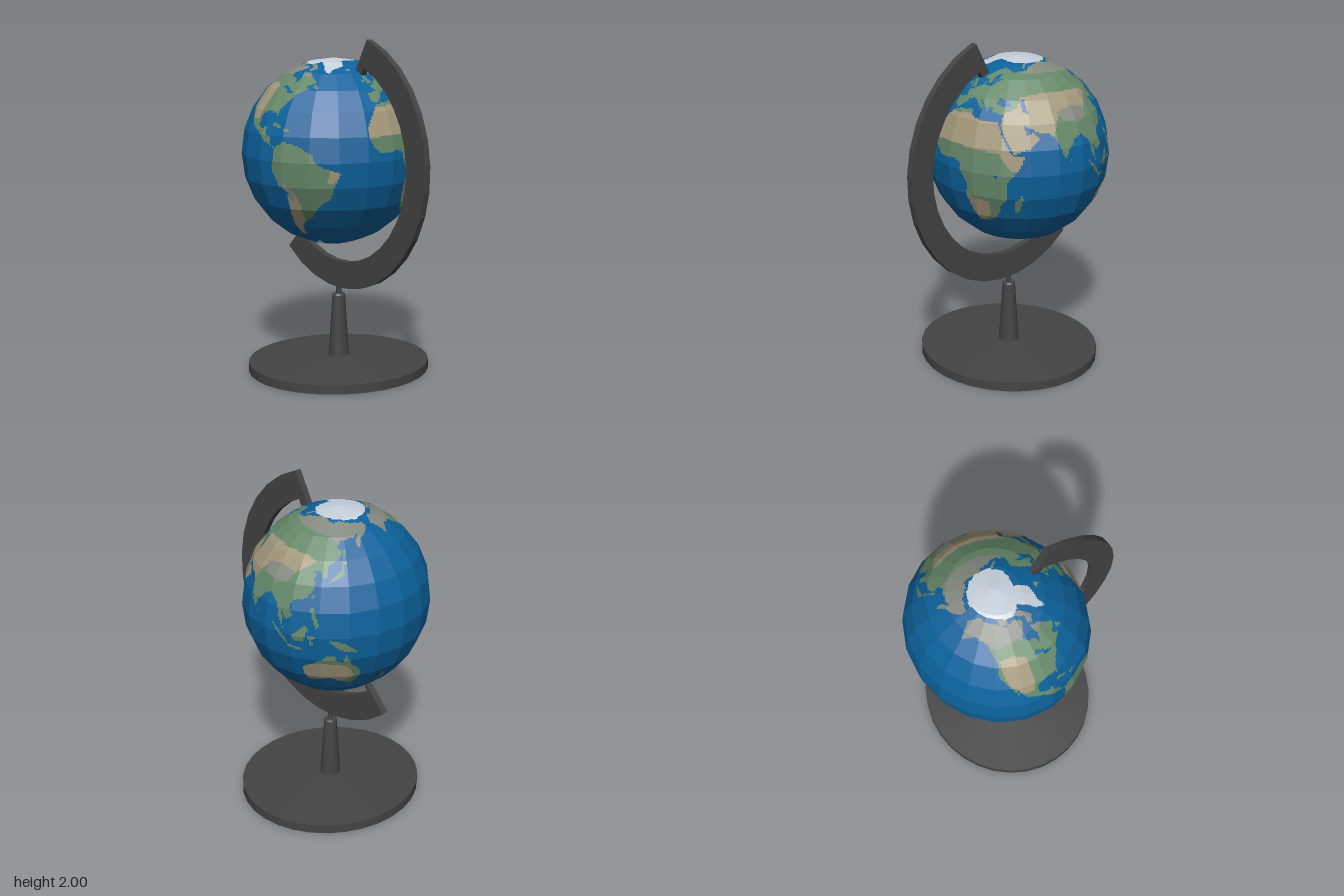
import * as THREE from 'three';

const mat = (name, color) => {
  const m = new THREE.MeshStandardMaterial({ color });
  m.name = name;
  return m;
};
const materials = {
  ocean: mat('ocean blue', 0x0c629c),
  forest: mat('forest green', 0x66896a),
  desert: mat('desert tan', 0xa3987b),
  tundra: mat('tundra grey', 0x858a80),
  ice: mat('ice white', 0xc6d0db),
};
const standMat = mat('charcoal', 0x444444);

// Map outlines as flat lists of longitude, latitude
const outlines = { land: [], water: [], desert: [], tundra: [], ice: [] };
const add = (kind, ...points) => outlines[kind].push(points);

function inside(p, x, y) {
  let hit = false;
  for (let i = 0, j = p.length - 2; i < p.length; j = i, i += 2) {
    if ((p[i + 1] > y) !== (p[j + 1] > y) &&
      x < ((p[j] - p[i]) * (y - p[i + 1])) / (p[j + 1] - p[i + 1]) + p[i]) hit = !hit;
  }
  return hit;
}

// North and Central America
add('land', -168, 66, -156, 71, -140, 70, -125, 70, -110, 68, -95, 70, -85, 69, -82, 67, -94, 60, -92, 57,
  -82, 55, -80, 51, -77, 56, -78, 62, -70, 61, -65, 59, -60, 55, -56, 52, -65, 49, -61, 46, -70, 43, -75, 38,
  -81, 31, -80, 26, -82, 29, -90, 30, -97, 27, -97, 20, -91, 18.5, -87, 21, -88, 16, -83, 14, -82, 9, -78, 8,
  -85, 10, -94, 16, -105, 20, -112, 29, -110, 23, -117, 32, -124, 40, -124, 48, -134, 58, -150, 60, -162, 55, -165, 62);
// South America
add('land', -79, 8, -72, 12, -62, 10, -52, 5, -50, 0, -44, -3, -35, -6, -39, -14, -41, -22, -48, -26, -54, -34,
  -58, -38, -65, -42, -68, -50, -69, -55, -74, -52, -73, -40, -71, -30, -70, -18, -76, -14, -81, -5, -79, 2);
// Africa
add('land', -6, 35, 10, 37, 11, 33, 20, 31, 32, 31, 37, 21, 43, 12, 51, 12, 47, 4, 40, -4, 40, -15, 35, -20,
  35, -25, 31, -30, 26, -34, 19, -34.5, 15, -27, 12, -17, 13, -8, 9, -1, 9, 4, 4, 6, -8, 4.5, -14, 9,
  -17, 15, -16, 22, -10, 30);
// Europe and Scandinavia
add('land', -9, 37, -9, 43, -1, 44, -4, 48, 2, 51, 8, 54, 9, 57, 11, 54, 19, 54, 23, 58, 30, 60, 60, 60, 60, 36,
  36, 36, 27, 37, 27, 40, 23, 40, 23, 36.5, 20, 40, 13, 45, 18, 40, 16, 38, 12, 42, 8, 44, 3, 43, 0, 39, -5, 36);
add('land', 30, 60, 22, 60, 25, 65, 21, 64, 17, 60, 16, 56, 13, 56, 10, 59, 5, 59, 6, 62, 14, 68, 25, 71, 41, 67,
  60, 69, 60, 60);
// Asia and Arabia
add('land', 60, 69, 70, 73, 85, 74, 104, 78, 113, 74, 130, 71, 140, 73, 160, 70, 180, 69, 180, 65, 170, 60, 163, 58,
  157, 51, 156, 57, 163, 62, 155, 59, 140, 58, 136, 54, 141, 51, 138, 46, 130, 42, 129, 35, 126, 35, 125, 39,
  118, 39, 122, 37, 120, 34, 122, 30, 117, 23, 109, 21, 106, 18, 109, 12, 105, 9, 101, 13, 103, 2, 99, 9, 97, 17,
  91, 22, 86, 20, 80, 14, 77, 8, 73, 17, 70, 22, 66, 25, 60, 25);
add('land', 36, 37, 60, 37, 61, 25, 57, 27, 50, 30, 52, 24, 56, 26, 60, 22, 55, 17, 44, 13, 39, 21, 34, 29);
// Australia and New Guinea
add('land', 114, -22, 122, -18, 130, -12, 136, -12, 136, -15, 140, -17, 142, -11, 146, -19, 153, -26, 150, -37,
  145, -39, 138, -35, 131, -31, 124, -33, 115, -34);
add('land', 131, -1, 141, -3, 150, -10, 143, -9, 138, -8);
// Islands
add('land', 145, -41, 148, -41, 147, -44);
add('land', 173, -35, 178, -38, 175, -41.5, 173, -39);
add('land', 173, -41, 174, -42, 169, -47, 167, -46);
add('land', 95, 5, 104, -2, 106, -6, 102, -4);
add('land', 105, -6, 114, -7, 115, -9, 106, -8);
add('land', 109, 1, 114, 4, 117, 7, 119, 5, 116, -3, 110, -3);
add('land', 119, 1, 125, 1, 121, -1, 123, -5, 120, -5);
add('land', 120, 18, 122, 18, 126, 8, 124, 6, 121, 13);
add('land', 130, 32, 136, 34, 141, 36, 142, 43, 145, 44, 141, 45, 140, 40, 135, 36);
add('land', 142, 46, 144, 50, 143, 54, 142, 52);
add('land', 80, 9, 82, 7, 80, 6);
add('land', 120, 25, 122, 25, 121, 22);
add('land', 44, -25, 47, -25, 50, -15, 49, -12, 44, -17);
add('land', -5, 50, 1, 52, -2, 56, -4, 58.5, -6, 56, -4, 53);
add('land', -10, 52, -6, 52, -6, 55, -9, 54);
add('land', -24, 65, -18, 63, -14, 65, -18, 66.5);
add('land', -85, 22, -77, 20, -74, 20, -80, 23);
add('land', -74, 18, -68, 18, -70, 20, -73, 20);
add('land', -59, 48, -53, 47, -56, 51);
add('land', -64, 66, -72, 63, -78, 65, -73, 68, -88, 72, -80, 74, -70, 71);
add('land', -118, 69, -103, 69, -106, 73, -124, 73);
add('land', 53, 71, 58, 71, 68, 77, 60, 76);
// Inland seas and lakes
add('water', 28, 42, 36, 41, 41, 41.5, 38, 45, 34, 45, 31, 47);
add('water', 47, 45, 50, 38, 54, 37, 53, 41, 51, 44, 53, 46.5);
add('water', -92, 47, -84, 46, -82, 43, -76, 43.5, -83, 47, -88, 49);
add('water', 31, 0.5, 34, 0.5, 33, -2.5);
// Deserts and dry highlands
add('desert', -18, 14, 0, 15, 20, 14, 34, 13, 42, 3, 52, 3, 60, 22, 70, 23, 74, 31, 78, 36, 84, 30, 100, 32,
  108, 38, 120, 44, 110, 48, 90, 49, 70, 50, 48, 48, 45, 40, 36, 37, 30, 33, 11, 34, -6, 33, -18, 30);
add('desert', 11, -14, 20, -17, 27, -18, 28, -27, 22, -35, 14, -35);
add('desert', 113, -20, 125, -18, 138, -19, 145, -22, 148, -30, 140, -35, 110, -33);
add('desert', -122, 49, -108, 51, -98, 48, -98, 33, -100, 24, -106, 24, -116, 32, -120, 40);
add('desert', -73, -12, -66, -17, -62, -28, -63, -40, -66, -50, -68, -56, -76, -56, -74, -20);
add('desert', -42, -4, -36, -5, -37, -11, -43, -12);
// Tundra and high plateaus
add('tundra', -170, 53, -140, 57, -125, 56, -105, 59, -95, 58, -80, 57, -60, 58, -60, 76, -170, 76);
add('tundra', 40, 67, 60, 66, 90, 65, 110, 63, 130, 60, 145, 50, 165, 50, 181, 58, 181, 80, 40, 80);
add('tundra', 75, 37, 80, 31, 92, 28, 102, 30, 103, 37, 90, 39);
add('tundra', -74, -11, -66, -17, -66, -24, -70, -23);
add('tundra', -25, 63, -13, 63, -13, 67, -25, 67);
// Greenland, the northern cap and Antarctica
add('ice', -73, 78, -55, 70, -53, 65, -45, 60, -40, 65, -22, 70, -18, 77, -20, 81, -35, 83.5, -60, 82);
add('ice', -180, 73, -130, 73, -90, 72, -70, 75, -50, 80, 0, 79, 40, 77, 90, 76, 135, 74, 180, 72, 180, 91, -180, 91);
add('ice', -180, -78, -150, -77, -120, -74, -100, -73, -75, -73, -60, -64, -60, -74, -35, -78, -10, -71, 30, -69,
  55, -66, 90, -66, 135, -66, 165, -71, 165, -78, 180, -78, 180, -91, -180, -91);

function surfaceAt(lon, lat) {
  const within = (kind) => outlines[kind].some((p) => inside(p, lon, lat));
  if (within('ice')) return 'ice';
  if (!within('land') || within('water')) return 'ocean';
  if (within('tundra')) return 'tundra';
  return within('desert') ? 'desert' : 'forest';
}

// Faceted globe: each flat facet is cut into strips that follow the map
function makeGlobe() {
  const SEG = 20, RINGS = 12, CUTS = 15;
  const dLon = 360 / SEG, dLat = 180 / RINGS, rad = Math.PI / 180;
  const point = (lon, lat) => new THREE.Vector3(
    0.526 * Math.cos(lat * rad) * Math.cos(lon * rad),
    0.556 * Math.sin(lat * rad),
    -0.561 * Math.cos(lat * rad) * Math.sin(lon * rad));
  const positions = { ocean: [], forest: [], desert: [], tundra: [], ice: [] };

  for (let i = 0; i < SEG; i++) for (let j = 0; j < RINGS; j++) {
    const lon = -180 + i * dLon, lat = -90 + j * dLat;
    const sw = point(lon, lat), se = point(lon + dLon, lat);
    const nw = point(lon, lat + dLat), ne = point(lon + dLon, lat + dLat);
    const at = (u, v) => sw.clone().lerp(se, u / CUTS).lerp(nw.clone().lerp(ne, u / CUTS), v / CUTS);
    for (let v = 0; v < CUTS; v++) {
      const kinds = Array.from({ length: CUTS }, (_, u) =>
        surfaceAt(lon + ((u + 0.5) / CUTS) * dLon, lat + ((v + 0.5) / CUTS) * dLat));
      for (let u = 0, end; u < CUTS; u = end) {
        end = u + 1;
        while (end < CUTS && kinds[end] === kinds[u]) end++;
        const a = at(u, v), b = at(end, v), c = at(end, v + 1), d = at(u, v + 1);
        for (const p of [a, b, c, a, c, d]) positions[kinds[u]].push(p.x, p.y, p.z);
      }
    }
  }
  const globe = new THREE.Group();
  globe.name = 'globe';
  for (const kind in positions) {
    const g = new THREE.BufferGeometry();
    g.setAttribute('position', new THREE.Float32BufferAttribute(positions[kind], 3));
    g.computeVertexNormals();
    const mesh = new THREE.Mesh(g, materials[kind]);
    mesh.name = kind + 'Surface';
    globe.add(mesh);
  }
  globe.position.set(-0.14, 1.325, 0);
  return globe;
}

// Curved arm with a short tab at each end that reaches into the globe
function makeArm() {
  const arc = (r, from, to, n = 18) => Array.from({ length: n + 1 }, (_, i) => {
    const a = THREE.MathUtils.degToRad(from + ((to - from) * i) / n);
    return new THREE.Vector2(-0.06 + 0.94 * r * Math.cos(a), 1.275 + r * Math.sin(a));
  });
  const v = (x, y) => new THREE.Vector2(x, y);
  const shape = new THREE.Shape([
    ...arc(0.77, -130.5, 70.5), v(0.05, 1.75), v(0.11, 1.75),
    ...arc(0.606, 67.7, -127), v(-0.33, 0.93), v(-0.34, 0.9),
  ]);
  const g = new THREE.ExtrudeGeometry(shape, { depth: 0.04, bevelEnabled: false });
  g.translate(0, 0, -0.01);
  const arm = new THREE.Mesh(g, standMat);
  arm.name = 'meridianArm';
  return arm;
}

// Round foot, tapered stem and pin
function makeStand() {
  const stand = new THREE.Group();
  stand.name = 'stand';
  const part = (name, top, bottom, y0, y1, sides) => {
    const m = new THREE.Mesh(new THREE.CylinderGeometry(top, bottom, y1 - y0, sides), standMat);
    m.position.y = (y0 + y1) / 2;
    m.name = name;
    stand.add(m);
  };
  part('footRim', 0.56, 0.56, 0, 0.055, 32);
  part('footSlope', 0.06, 0.56, 0.055, 0.082, 32);
  part('stem', 0.04, 0.064, 0.075, 0.455, 20);
  part('stemCap', 0.034, 0.04, 0.455, 0.465, 20);
  part('pin', 0.016, 0.016, 0.46, 0.507, 12);
  stand.scale.x = 0.94;
  stand.position.set(-0.085, 0, 0.01);
  return stand;
}

export function createModel() {
  const model = new THREE.Group();
  model.name = 'deskGlobe';
  model.add(makeStand(), makeArm(), makeGlobe());
  return model;
}
